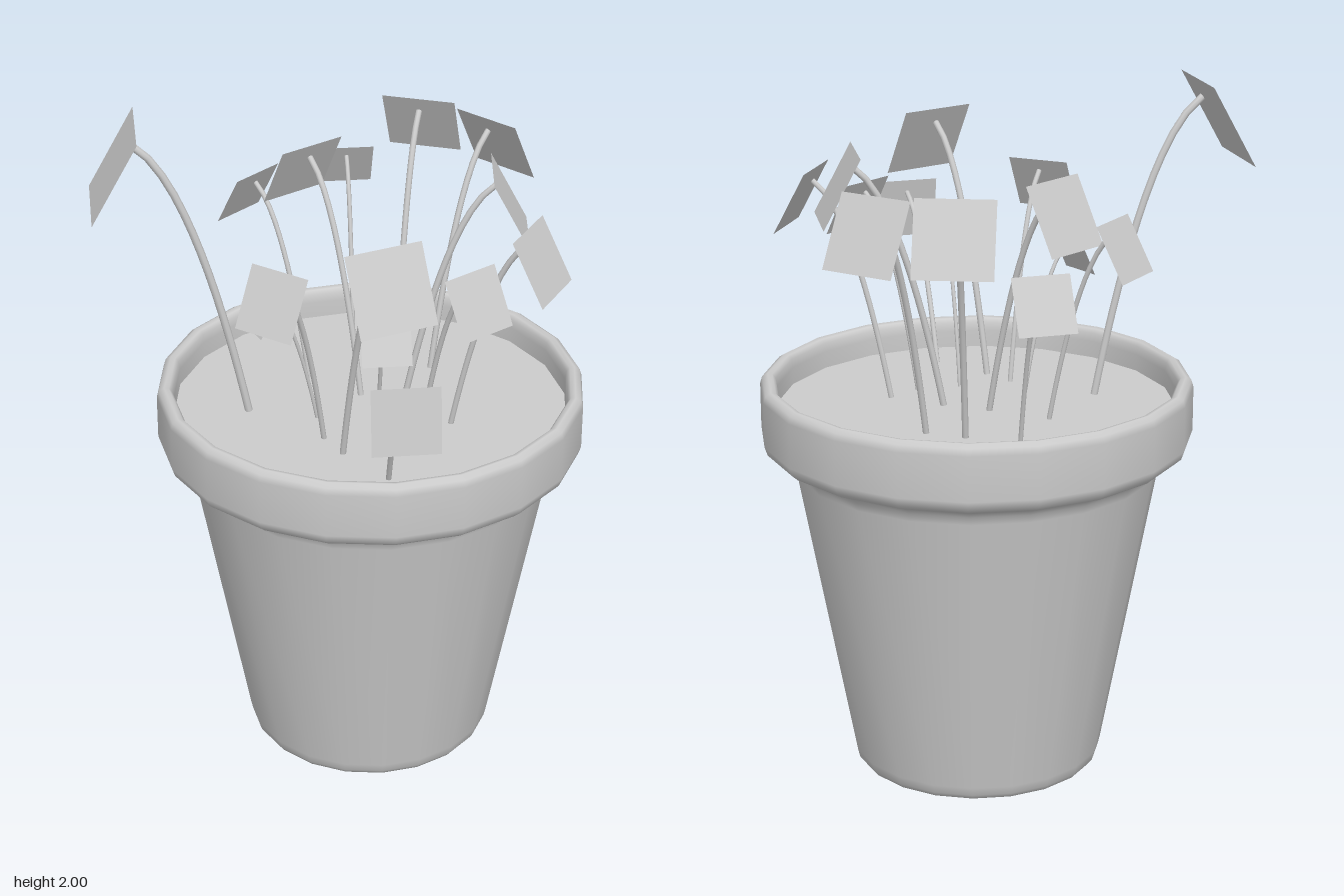
import * as THREE from 'three';

const SOIL_Y = 1.09, SOIL_R = 0.574, POT_X = 0.079, POT_Z = -0.067, SIDES = 20;

const mat = new THREE.MeshStandardMaterial({ color: 0xcccccc });
const thinMat = new THREE.MeshStandardMaterial({ color: 0xcccccc, side: THREE.DoubleSide });

// [root x, root z, leaf centre x, y, z, leaf size, leaf lean from vertical]
const PLANTS = [
  // left side and back
  [-0.277, -0.068, -0.64, 1.885, -0.068, 0.269, 0.51],
  [-0.084, -0.247, -0.243, 1.62, -0.423, 0.173, 0.5],
  [0.057, -0.125, -0.087, 1.711, -0.369, 0.209, 0.48],
  [0.074, -0.485, 0.074, 1.565, -0.705, 0.162, 0.49],
  [0.187, -0.336, 0.292, 1.734, -0.608, 0.219, 0.48],
  [0.282, -0.268, 0.492, 1.723, -0.463, 0.216, 0.48],
  // right side and front
  [0.17, -0.043, 0.464, 1.748, -0.011, 0.225, 0.49],
  [0.297, 0.067, 0.519, 1.669, 0.212, 0.202, 0.49],
  [0.203, 0.118, 0.329, 1.605, 0.317, 0.177, 0.49],
  [0.079, 0.11, 0.079, 1.49, 0.293, 0.139, 0.5],
  [0.081, 0.357, 0.081, 1.48, 0.718, 0.186, 0.19],
  [-0.031, 0.204, 0.067, 1.748, 0.491, 0.226, 0.48],
  [-0.076, 0.114, -0.236, 1.633, 0.312, 0.182, 0.5],
  [-0.084, -0.008, -0.25, 1.485, 0.06, 0.13, 0.46],
];

// One bent stem with a flat square leaf hanging from its tip
function makePlant([rx, rz, cx, cy, cz, size, lean]) {
  const plant = new THREE.Group();
  plant.name = 'plant';
  plant.position.set(rx, SOIL_Y, rz);
  plant.rotation.y = Math.atan2(cx - rx, cz - rz);

  // local +z points outwards along the bend
  const reach = Math.hypot(cx - rx, cz - rz), height = cy - SOIL_Y;
  const leaf = new THREE.Mesh(new THREE.PlaneGeometry(size, size), thinMat);
  leaf.name = 'leaf';
  leaf.position.set(0, height, reach);
  leaf.rotation.x = -lean;

  // the stem stops just behind the leaf, above its middle
  const radius = 0.042 * size;
  const tipY = height + 0.3 * size * Math.cos(lean) - radius * Math.sin(lean);
  const tipZ = reach - 0.3 * size * Math.sin(lean) - radius * Math.cos(lean);
  const curve = new THREE.QuadraticBezierCurve3(
    new THREE.Vector3(0, 0, 0),
    new THREE.Vector3(0, tipY * 0.88, tipZ * 0.47),
    new THREE.Vector3(0, tipY, tipZ)
  );
  const stem = new THREE.Mesh(new THREE.TubeGeometry(curve, 14, radius, 8), thinMat);
  stem.name = 'stem';

  plant.add(stem, leaf);
  return plant;
}

export function createModel() {
  const model = new THREE.Group();
  model.name = 'pottedPlants';

  // Tapered pot with a rounded collar and hollow top
  const profile = [
    [0.335, 0.005], [0.35, 0.01], [0.361, 0.025], [0.367, 0.05], [0.528, 0.92], [0.536, 0.945],
    [0.55, 0.962], [0.573, 0.972], [0.597, 0.981], [0.614, 0.996], [0.622, 1.02], [0.622, 1.15],
    [0.616, 1.17], [0.6, 1.18], [0.586, 1.177], [0.577, 1.165], [SOIL_R, 1.14], [SOIL_R, SOIL_Y],
  ].map(([r, y]) => new THREE.Vector2(r, y));
  const pot = new THREE.Mesh(new THREE.LatheGeometry(profile, SIDES), mat);
  pot.name = 'pot';
  pot.position.set(POT_X, 0, POT_Z);
  model.add(pot);

  // Flat discs closing the pot: its base and the soil
  for (const [name, radius, y, turn] of [['potBase', 0.335, 0.005, 1], ['soil', SOIL_R, SOIL_Y, -1]]) {
    const geo = new THREE.CircleGeometry(radius, SIDES).rotateX(turn * Math.PI / 2);
    const disc = new THREE.Mesh(geo, mat);
    disc.name = name;
    disc.position.set(POT_X, y, POT_Z);
    model.add(disc);
  }

  for (const spec of PLANTS) model.add(makePlant(spec));
  return model;
}
